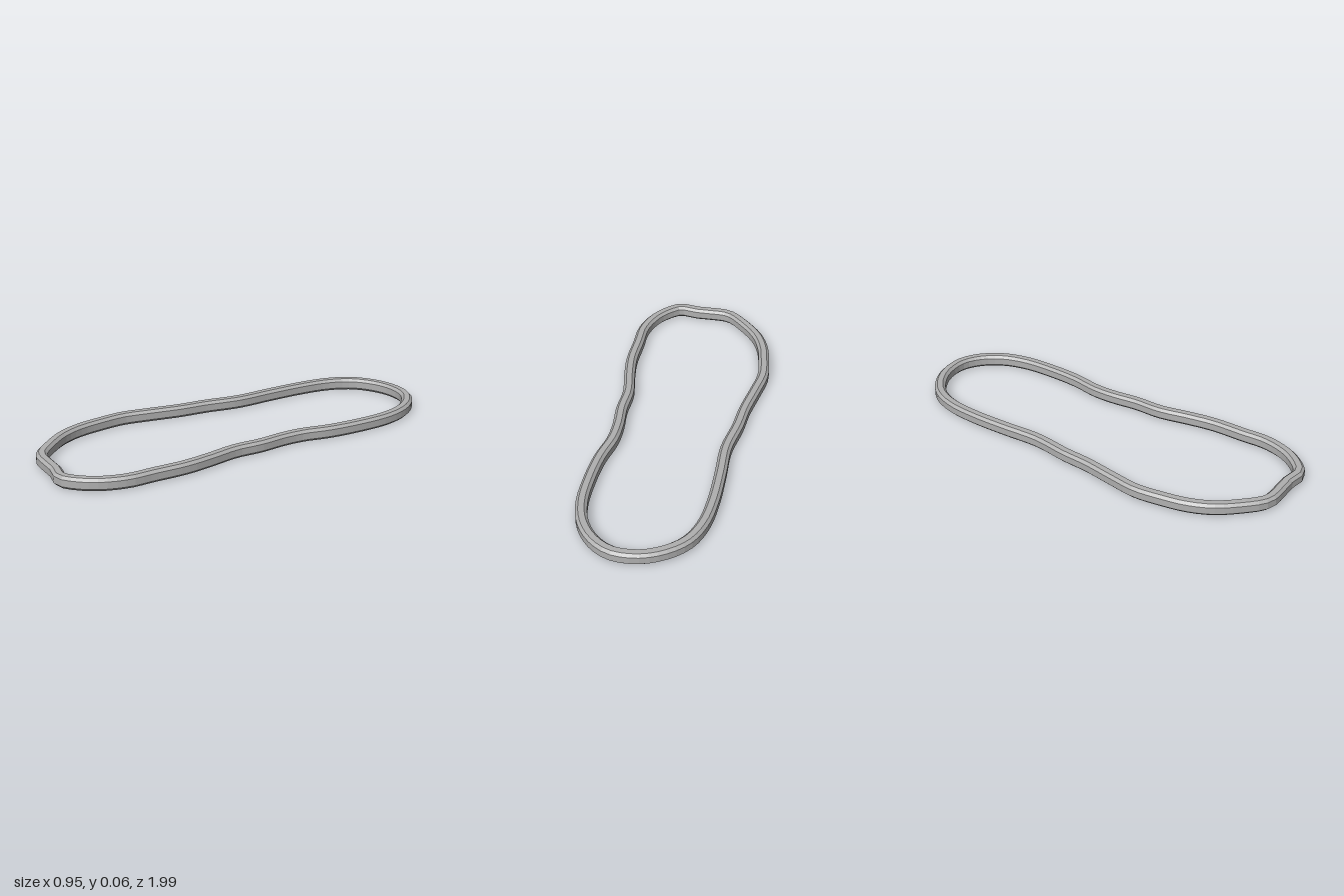
import * as THREE from 'three';

// Centreline of the band seen from above, as x, z pairs
const PATH = [
  [0.19, -0.97], [0.31, -0.945], [0.39, -0.87], [0.438, -0.76], [0.447, -0.63], [0.42, -0.47],
  [0.375, -0.31], [0.32, -0.18], [0.295, -0.07], [0.28, 0.06], [0.25, 0.19], [0.245, 0.35],
  [0.235, 0.48], [0.2, 0.64], [0.175, 0.76], [0.115, 0.87], [0.045, 0.935], [-0.03, 0.97],
  [-0.115, 0.94], [-0.19, 0.925], [-0.29, 0.895], [-0.37, 0.79], [-0.425, 0.68], [-0.447, 0.57],
  [-0.445, 0.455], [-0.43, 0.32], [-0.385, 0.2], [-0.32, 0.04], [-0.28, -0.09], [-0.215, -0.26],
  [-0.18, -0.445], [-0.14, -0.63], [-0.09, -0.78], [-0.02, -0.885], [0.075, -0.945],
];

const HALF_WIDTH = 0.027, HEIGHT = 0.06, BEVEL = 0.013, SEGMENTS = 120;

// Bevelled rectangle: outward offset and height, anticlockwise
function bandSection() {
  const w = HALF_WIDTH, h = HEIGHT, b = BEVEL;
  return [[w, b], [w, h - b], [w - b, h], [b - w, h], [-w, h - b], [-w, b], [b - w, 0], [w - b, 0]];
}

// Sweep a section around a closed flat curve, keeping it upright
function sweepLoop(curve, section, segments) {
  const positions = [], index = [], n = section.length;
  for (let i = 0; i < segments; i++) {
    const p = curve.getPointAt(i / segments);
    const t = curve.getTangentAt(i / segments);
    for (const [out, y] of section) positions.push(p.x + t.z * out, y, p.z - t.x * out);
    for (let s = 0; s < n; s++) {
      const a = i * n + s, b = i * n + (s + 1) % n;
      const next = ((i + 1) % segments) * n;
      const c = next + (s + 1) % n, d = next + s;
      index.push(a, b, c, a, c, d);
    }
  }
  const geometry = new THREE.BufferGeometry();
  geometry.setAttribute('position', new THREE.Float32BufferAttribute(positions, 3));
  geometry.setIndex(index);
  const faceted = geometry.toNonIndexed();
  faceted.computeVertexNormals();
  return faceted;
}

export function createModel() {
  const group = new THREE.Group();
  group.name = 'bandOutline';
  const grey = new THREE.MeshStandardMaterial({ color: 0xb0b0b0, flatShading: true });
  grey.name = 'grey';

  const curve = new THREE.CatmullRomCurve3(
    PATH.map(([x, z]) => new THREE.Vector3(x, 0, z)), true, 'centripetal');
  curve.arcLengthDivisions = 1000;

  const band = new THREE.Mesh(sweepLoop(curve, bandSection(), SEGMENTS), grey);
  band.name = 'band';
  group.add(band);
  return group;
}
